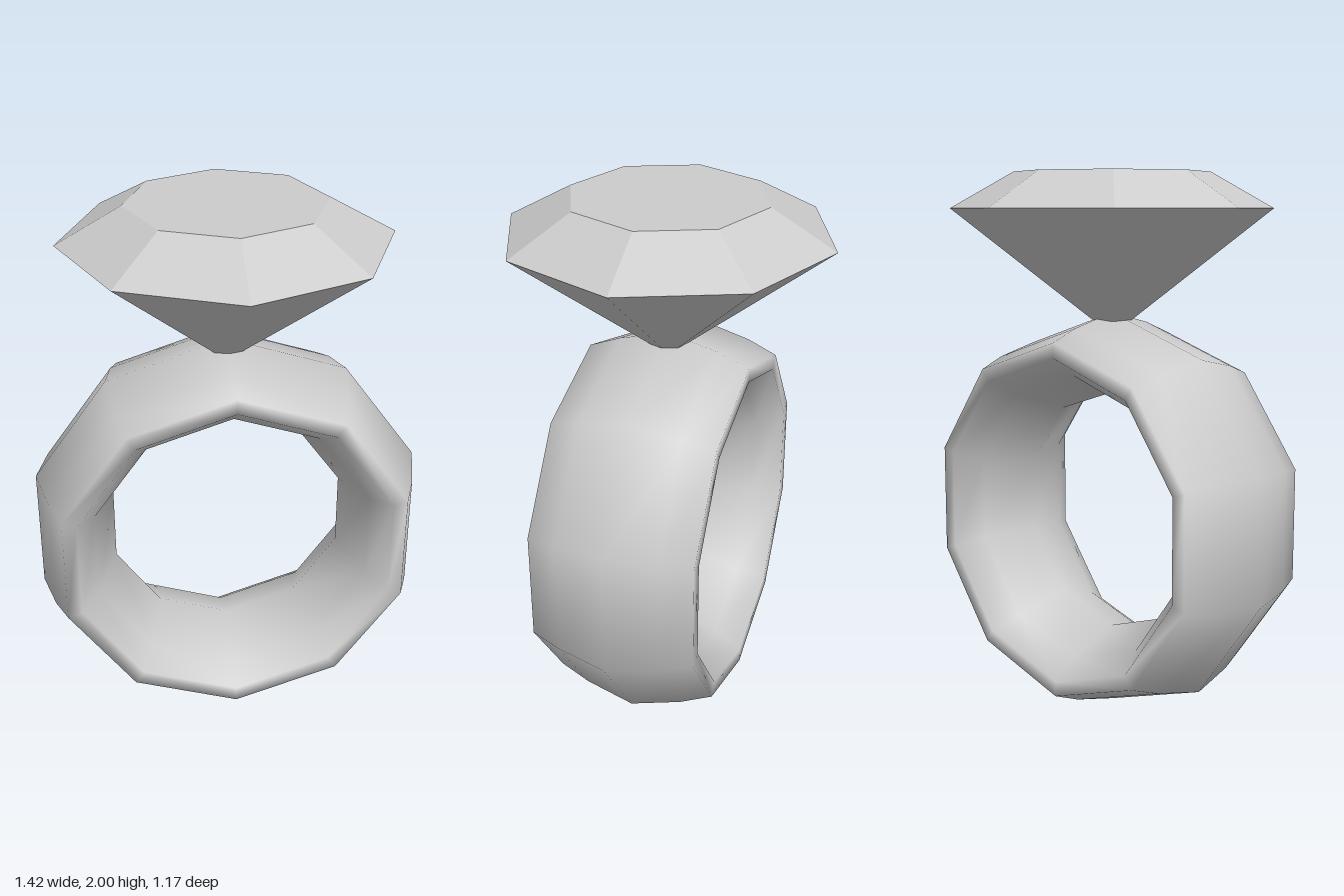
import * as THREE from 'three';
import { mergeVertices } from 'three/addons/utils/BufferGeometryUtils.js';

const RING_Y = 0.748;

// Ten-sided band: a closed, convex section swept around the finger axis
function makeBand(material) {
  const section = [
    [0.6, -0.3], [0.655, -0.3], [0.7, -0.185], [0.746, 0], [0.7, 0.185],
    [0.655, 0.3], [0.6, 0.3], [0.53, 0.2], [0.45, 0], [0.53, -0.2], [0.6, -0.3],
  ].map(([r, z]) => new THREE.Vector2(r, z));
  let geometry = new THREE.LatheGeometry(section, 10);
  // Weld the seams so the shading stays smooth all round
  geometry.deleteAttribute('normal');
  geometry.deleteAttribute('uv');
  geometry = mergeVertices(geometry, 1e-4);
  geometry.rotateX(Math.PI / 2);
  geometry.computeVertexNormals();
  const band = new THREE.Mesh(geometry, material);
  band.name = 'band';
  band.position.y = RING_Y;
  return band;
}

// One faceted, eight-sided tier of the stone
function makeTier(name, topRadius, bottomRadius, bottom, top, open, material) {
  const geometry = new THREE.CylinderGeometry(topRadius, bottomRadius, top - bottom, 8, 1, open);
  const tier = new THREE.Mesh(geometry, material);
  tier.name = name;
  tier.position.y = (top + bottom) / 2;
  return tier;
}

export function createModel() {
  const smooth = new THREE.MeshStandardMaterial({ color: 0xcccccc });
  const faceted = new THREE.MeshStandardMaterial({ color: 0xcccccc, flatShading: true });

  // Stone: bevelled crown with a flat table, above a pointed pavilion
  const stone = new THREE.Group();
  stone.name = 'stone';
  stone.add(
    makeTier('crown', 0.355, 0.587, 1.87, 2, false, faceted),
    makeTier('pavilion', 0.587, 0, 1.41, 1.87, true, faceted),
  );

  const ring = new THREE.Group();
  ring.name = 'ring';
  ring.add(makeBand(smooth), stone);
  return ring;
}
